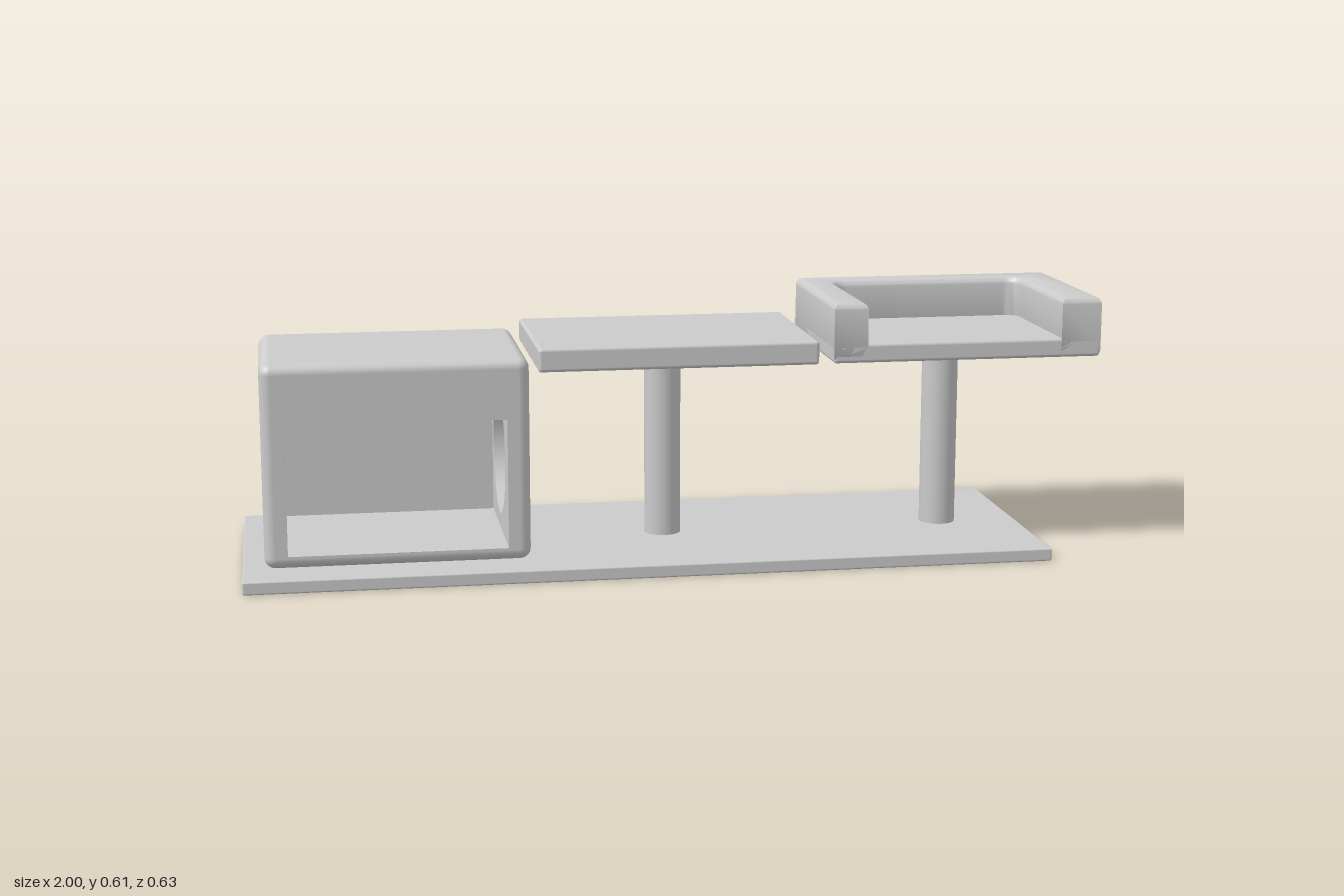
import * as THREE from 'three';
import { toCreasedNormals } from 'three/addons/utils/BufferGeometryUtils.js';
import { RoundedBoxGeometry } from 'three/addons/geometries/RoundedBoxGeometry.js';

const grey = new THREE.MeshStandardMaterial({ color: 0xcccccc });
const greyThin = new THREE.MeshStandardMaterial({ color: 0xcccccc, side: THREE.DoubleSide });

function add(group, name, geometry, x = 0, y = 0, z = 0, material = grey) {
  const mesh = new THREE.Mesh(geometry, material);
  mesh.name = name;
  mesh.position.set(x, y, z);
  group.add(mesh);
  return mesh;
}

// Rounded box given by its extents on each axis
function slab(group, name, [x0, x1], [y0, y1], [z0, z1], r) {
  const geometry = new RoundedBoxGeometry(x1 - x0, y1 - y0, z1 - z0, 3, r);
  return add(group, name, geometry, (x0 + x1) / 2, (y0 + y1) / 2, (z0 + z1) / 2);
}

function rect(Type, x0, y0, x1, y1) {
  const s = new Type();
  s.moveTo(x0, y0);
  s.lineTo(x1, y0);
  s.lineTo(x1, y1);
  s.lineTo(x0, y1);
  s.closePath();
  return s;
}

// Drops the flat middle of the front (+z) and side (+x) faces of a rounded box
function openRoundedBox(w, h, d, r) {
  const source = new RoundedBoxGeometry(w, h, d, 4, r);
  const p = source.attributes.position, n = source.attributes.normal;
  const positions = [], normals = [];
  for (let i = 0; i < p.count; i += 3) {
    const ids = [i, i + 1, i + 2];
    if (ids.every(k => p.getZ(k) > d / 2 - 1e-5) || ids.every(k => p.getX(k) > w / 2 - 1e-5)) continue;
    for (const k of ids) {
      positions.push(p.getX(k), p.getY(k), p.getZ(k));
      normals.push(n.getX(k), n.getY(k), n.getZ(k));
    }
  }
  const geometry = new THREE.BufferGeometry();
  geometry.setAttribute('position', new THREE.Float32BufferAttribute(positions, 3));
  geometry.setAttribute('normal', new THREE.Float32BufferAttribute(normals, 3));
  return geometry;
}

// Hollow den with a wide front opening and a round side entrance
function createDen() {
  const den = new THREE.Group();
  den.name = 'den';
  const w = 0.605, h = 0.47, d = 0.44, r = 0.025;
  const fx = w / 2 - r, fy = h / 2 - r, fz = d / 2 - r;
  const cx = 0.25, floorY = -0.205, topY = 0.095, backZ = -0.17;
  const holeX = -0.005, holeY = -0.023, holeR = 0.147;
  add(den, 'denShell', openRoundedBox(w, h, d, r));

  const front = rect(THREE.Shape, -fx, -fy, fx, fy);
  front.holes.push(rect(THREE.Path, -cx, floorY, cx, topY));
  add(den, 'denFront', new THREE.ShapeGeometry(front), 0, 0, d / 2);

  const side = rect(THREE.Shape, -fz, -fy, fz, fy);
  side.holes.push(new THREE.Path().absarc(holeX, holeY, holeR, 0, Math.PI * 2, false));
  add(den, 'denSide', new THREE.ShapeGeometry(side, 24).rotateY(Math.PI / 2), w / 2, 0, 0);

  // Rim of the round entrance
  const rim = new THREE.CylinderGeometry(holeR, holeR, w / 2 - cx, 24, 1, true).rotateZ(Math.PI / 2);
  add(den, 'entranceRim', rim, (w / 2 + cx) / 2, holeY, -holeX, greyThin);

  // Cavity walls
  const depth = d / 2 - backZ, midZ = (d / 2 + backZ) / 2;
  const height = topY - floorY, midY = (topY + floorY) / 2;
  const level = () => new THREE.PlaneGeometry(cx * 2, depth).rotateX(-Math.PI / 2);
  add(den, 'denFloor', level(), 0, floorY, midZ, greyThin);
  add(den, 'denCeiling', level(), 0, topY, midZ, greyThin);
  add(den, 'denBack', new THREE.PlaneGeometry(cx * 2, height), 0, midY, backZ, greyThin);
  add(den, 'denInnerWall', new THREE.PlaneGeometry(depth, height).rotateY(Math.PI / 2), -cx, midY, midZ, greyThin);

  // Inner entrance wall, notched where the round hole reaches the ceiling
  const a = Math.asin((topY - holeY) / holeR);
  const wall = new THREE.Shape();
  wall.moveTo(-d / 2, floorY);
  wall.lineTo(-backZ, floorY);
  wall.lineTo(-backZ, topY);
  wall.absarc(holeX, holeY, holeR, a, Math.PI - a, true);
  wall.lineTo(-d / 2, topY);
  wall.closePath();
  add(den, 'denEntranceWall', new THREE.ShapeGeometry(wall, 24).rotateY(Math.PI / 2), cx, 0, 0, greyThin);
  const cap = new THREE.Shape().absarc(holeX, holeY, holeR, a, Math.PI - a, false);
  add(den, 'entranceCap', new THREE.ShapeGeometry(cap, 8).rotateY(Math.PI / 2), cx, 0, 0, greyThin);

  den.position.set(-0.6475, 0.265, 0);
  return den;
}

// Lounger: floor slab with a raised rim on three sides
function createLounger() {
  const lounger = new THREE.Group();
  lounger.name = 'lounger';
  slab(lounger, 'loungerFloor', [0.36, 1], [0.465, 0.51], [-0.22, 0.215], 0.008);
  const u = new THREE.Shape(), c = 0.035, o = 0.02, b = 0.016;
  u.moveTo(0.36, -0.215);
  u.lineTo(0.44, -0.215);
  u.lineTo(0.44, 0.14 - c);
  u.quadraticCurveTo(0.44, 0.14, 0.44 + c, 0.14);
  u.lineTo(0.905 - c, 0.14);
  u.quadraticCurveTo(0.905, 0.14, 0.905, 0.14 - c);
  u.lineTo(0.905, -0.215);
  u.lineTo(1, -0.215);
  u.lineTo(1, 0.22 - o);
  u.quadraticCurveTo(1, 0.22, 1 - o, 0.22);
  u.lineTo(0.36 + o, 0.22);
  u.quadraticCurveTo(0.36, 0.22, 0.36, 0.22 - o);
  u.closePath();
  const rim = new THREE.ExtrudeGeometry(u, {
    depth: 0.14 - 2 * b, bevelThickness: b, bevelSize: b, bevelOffset: -b, bevelSegments: 4, curveSegments: 6
  }).rotateX(-Math.PI / 2);
  add(lounger, 'loungerRim', toCreasedNormals(rim, 0.7), 0, 0.465 + b, 0);
  return lounger;
}

export function createModel() {
  const model = new THREE.Group();
  model.name = 'petFurniture';
  slab(model, 'base', [-1, 0.865], [0, 0.03], [-0.313, 0.313], 0.004);
  model.add(createDen());
  slab(model, 'middlePlatform', [-0.325, 0.325], [0.465, 0.52], [-0.222, 0.22], 0.008);
  model.add(createLounger());
  for (const [name, x] of [['middlePost', -0.007], ['loungerPost', 0.673]]) {
    add(model, name, new THREE.CylinderGeometry(0.043, 0.043, 0.445, 32), x, 0.2475, 0);
  }
  return model;
}
